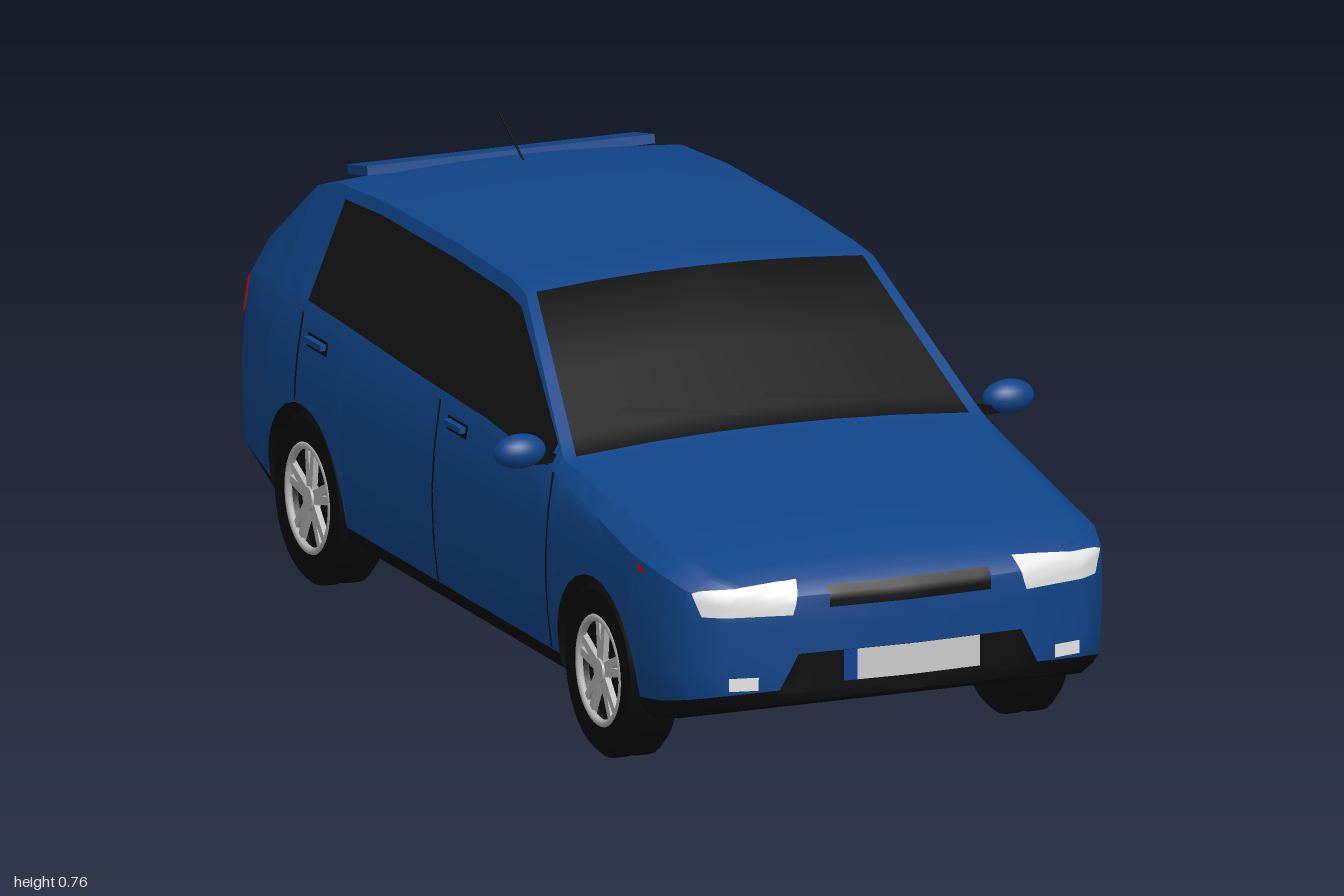
import * as THREE from 'three';
import { toCreasedNormals } from 'three/addons/utils/BufferGeometryUtils.js';

const mat = (name, color) => {
  const m = new THREE.MeshStandardMaterial({ color, side: THREE.DoubleSide });
  m.name = name;
  return m;
};
const { lerp } = THREE.MathUtils;
const WHEEL_Z = [0.6, -0.63], AXLE_Y = 0.15, ARCH_R = 0.165;

// Body stations: z, half width, shoulder y, roof edge half width, roof edge y
const KEYS = [
  [0.995, 0, 0.33, 0, 0.35],
  [0.985, 0.22, 0.335, 0.2, 0.352],
  [0.96, 0.33, 0.35, 0.3, 0.366],
  [0.92, 0.385, 0.365, 0.345, 0.383],
  [0.85, 0.405, 0.38, 0.365, 0.402],
  [0.75, 0.412, 0.39, 0.37, 0.42],
  [0.41, 0.416, 0.45, 0.385, 0.471],
  [0.1, 0.416, 0.46, 0.32, 0.677],
  [0.03, 0.416, 0.46, 0.315, 0.686],
  [-0.2, 0.416, 0.465, 0.315, 0.692],
  [-0.5, 0.416, 0.475, 0.315, 0.69],
  [-0.7, 0.415, 0.48, 0.315, 0.675],
  [-0.78, 0.413, 0.48, 0.32, 0.652],
  [-0.93, 0.395, 0.47, 0.343, 0.527],
  [-0.965, 0.375, 0.455, 0.34, 0.477],
  [-0.98, 0.345, 0.43, 0.32, 0.446],
  [-0.988, 0.28, 0.4, 0.25, 0.41],
  [-0.992, 0, 0.4, 0, 0.415],
];

// Half cross-section from the floor centre up to the roof centre
function section(z, archY) {
  let k = 0;
  while (k < KEYS.length - 2 && z < KEYS[k + 1][0]) k++;
  const A = KEYS[k], B = KEYS[k + 1], t = (A[0] - z) / (A[0] - B[0]);
  const [, w, ys, wr, yr] = A.map((v, i) => lerp(v, B[i], t));
  // The floor and sill sweep up towards both bumpers
  const sweep = Math.max(0, (Math.abs(z) - 0.72) / 0.27) ** 1.5;
  const floor = 0.1 + 0.07 * sweep, yb = archY ?? 0.14 + 0.053 * sweep;
  const side = (y) => w * (1 - 1.3 * (y - 0.29) ** 2);
  const pts = [[0, floor]];
  if (archY) pts.push([0.3, floor], [0.3, yb]);
  else pts.push([w * 0.9, floor], [w * 0.955, floor + 0.015]);
  for (const f of [0, 0.25, 0.5, 0.75, 1]) {
    const y = lerp(yb, ys, f);
    pts.push([side(y), y]);
  }
  for (const f of [0.05, 0.9, 1]) pts.push([lerp(side(ys), wr, f), lerp(ys, yr, f)]);
  for (const f of [0.94, 0.6, 0.3, 0]) pts.push([wr * f, yr + 0.05 * wr * (1 - f * f)]);
  return pts.map(([x, y]) => [x, y, z]);
}

// Lofted shell with wheel arches; group 0 paint, 1 glass, 2 underside
function shellGeometry() {
  const ends = [...KEYS.map((k) => k[0]), 0.375, 0.25, -0.655, -0.86, -0.95];
  const inArch = (z, c) => Math.abs(z - c) <= ARCH_R;
  const stations = ends.filter((z) => !WHEEL_Z.some((c) => inArch(z, c))).map((z) => [z]);
  for (const c of WHEEL_Z) {
    const zs = ends.filter((z) => inArch(z, c));
    for (let i = 0; i <= 14; i++) zs.push(c + ARCH_R * Math.cos((i / 14) * Math.PI));
    stations.push([c + ARCH_R + 1e-5], [c - ARCH_R - 1e-5]);
    for (const z of zs) {
      stations.push([z, AXLE_Y + Math.sqrt(Math.max(0, ARCH_R ** 2 - (z - c) ** 2))]);
    }
  }
  stations.sort((a, b) => b[0] - a[0]);
  const rows = stations.map(([z, archY]) => section(z, archY));
  const buckets = [[], [], []];
  const mirrored = ([x, y, z]) => [-x, y, z];
  for (let i = 0; i < rows.length - 1; i++) {
    const z = (stations[i][0] + stations[i + 1][0]) / 2;
    for (let j = 0; j < 14; j++) {
      const sideGlass = j === 8 && z < 0.375 && z > -0.655;
      const endGlass = j >= 11 && ((z < 0.41 && z > 0.1) || (z < -0.78 && z > -0.95));
      const out = buckets[j < 3 ? 2 : sideGlass || endGlass ? 1 : 0];
      const a = rows[i][j], b = rows[i + 1][j], c = rows[i + 1][j + 1], d = rows[i][j + 1];
      for (const p of [a, b, c, a, c, d]) out.push(...p);
      for (const p of [a, c, b, a, d, c]) out.push(...mirrored(p));
    }
  }
  const geo = new THREE.BufferGeometry();
  geo.setAttribute('position', new THREE.Float32BufferAttribute(buckets.flat(), 3));
  let start = 0;
  buckets.forEach((b, i) => {
    geo.addGroup(start, b.length / 3, i);
    start += b.length / 3;
  });
  return toCreasedNormals(geo, 0.7);
}

export function createModel() {
  const car = new THREE.Group();
  car.name = 'car';
  const paint = mat('blue paint', 0x104488), black = mat('black trim', 0x0a0a0a);
  const glass = mat('dark glass', 0x111111), silver = mat('silver metal', 0xb4b4b4);
  const lamp = mat('lamp white', 0xe6e6e6), plate = mat('plate grey', 0xcccccc);
  const plateBlue = mat('plate blue', 0x0c3f96), red = mat('lamp red', 0xa81212);

  const add = (parent, name, geo, material, x = 0, y = 0, z = 0) => {
    const mesh = new THREE.Mesh(geo, material);
    mesh.name = name;
    mesh.position.set(x, y, z);
    parent.add(mesh);
    return mesh;
  };
  const shell = add(car, 'bodyShell', shellGeometry(), [paint, glass, black]);
  const ray = new THREE.Raycaster();

  // Thin patch draped on the shell: corners (u, v) from bottom left, seen along an axis from one side
  function patch(name, material, axis, side, corners, lift = 0.004, n = 10, m = 3) {
    const [bl, br, tr, tl] = corners, geo = new THREE.PlaneGeometry(1, 1, n, m);
    const pos = geo.attributes.position, uv = geo.attributes.uv;
    const dir = new THREE.Vector3(axis === 'x' ? -side : 0, 0, axis === 'z' ? -side : 0);
    for (let i = 0; i < pos.count; i++) {
      const s = uv.getX(i), t = uv.getY(i);
      const [u, v] = [0, 1].map((k) => lerp(lerp(bl[k], br[k], s), lerp(tl[k], tr[k], s), t));
      const from = axis === 'z' ? new THREE.Vector3(u, v, 2 * side) : new THREE.Vector3(2 * side, v, u);
      ray.set(from, dir);
      const hit = ray.intersectObject(shell)[0];
      const p = hit ? hit.point.addScaledVector(hit.face.normal, lift) : from.addScaledVector(dir, 1.08);
      pos.setXYZ(i, p.x, p.y, p.z);
    }
    if (axis === 'z' ? side < 0 : side > 0) {
      const ix = geo.index.array;
      for (let i = 0; i < ix.length; i += 3) [ix[i], ix[i + 1]] = [ix[i + 1], ix[i]];
    }
    geo.computeVertexNormals();
    add(car, name, geo, material);
  }
  const rect = (u0, v0, u1, v1) => [[u0, v0], [u1, v0], [u1, v1], [u0, v1]];

  // Nose and tail details
  patch('upperGrille', black, 'z', 1, rect(-0.148, 0.33, 0.148, 0.363), 0.005, 14);
  patch('lowerGrille', black, 'z', 1, [[-0.24, 0.185], [0.24, 0.185], [0.205, 0.253], [-0.205, 0.253]], 0.004, 16);
  patch('frontPlate', plate, 'z', 1, rect(-0.1, 0.2, 0.125, 0.254), 0.009);
  patch('frontPlateBand', plateBlue, 'z', 1, rect(-0.125, 0.2, -0.1, 0.254), 0.009, 2);
  patch('rearBumperInsert', black, 'z', -1, [[-0.27, 0.175], [0.27, 0.175], [0.22, 0.235], [-0.22, 0.235]], 0.004, 16);
  patch('rearPlate', plate, 'z', -1, rect(-0.13, 0.3, 0.13, 0.355), 0.006);
  patch('tailgateSeam', black, 'z', -1, rect(-0.3, 0.458, 0.3, 0.463), 0.004, 16, 1);
  patch('tailgateHandle', black, 'z', -1, rect(-0.08, 0.435, 0.08, 0.452), 0.006);
  for (const x of [-0.25, 0.01]) {
    patch('wiper', black, 'z', 1, [[x, 0.522], [x + 0.2, 0.503], [x + 0.2, 0.507], [x, 0.527]], 0.006, 4, 1);
  }

  // Wheel parts, axis along local z with +z outward
  const tyreGeo = toCreasedNormals(new THREE.LatheGeometry([[0.095, -0.044], [0.138, -0.044], [0.15, -0.032],
    [0.15, -0.01], [0.146, -0.007], [0.146, 0.007], [0.15, 0.01], [0.15, 0.032], [0.138, 0.044], [0.097, 0.044],
    [0.095, 0.02]].map(([r, y]) => new THREE.Vector2(r, y)), 40).rotateX(Math.PI / 2), 0.6);
  const drumGeo = new THREE.CylinderGeometry(0.097, 0.097, 0.055, 32).rotateX(Math.PI / 2);
  const hubGeo = new THREE.CylinderGeometry(0.02, 0.024, 0.016, 20).rotateX(Math.PI / 2);
  const rimGeo = new THREE.TorusGeometry(0.091, 0.007, 8, 40);
  const spoke = new THREE.Shape([[-0.011, 0.012], [0.011, 0.012], [0.02, 0.09], [0.007, 0.09],
    [0, 0.05], [-0.007, 0.09], [-0.02, 0.09]].map(([x, y]) => new THREE.Vector2(x, y)));
  const spokeGeo = new THREE.ExtrudeGeometry(spoke, { depth: 0.01, bevelEnabled: false });

  const mirrorGeo = new THREE.SphereGeometry(1, 24, 12, 0, Math.PI).scale(0.047, 0.03, 0.034);
  const mirrorGlassGeo = new THREE.CircleGeometry(1, 24).scale(0.047, 0.03, 1).rotateY(Math.PI);

  for (const s of [1, -1]) {
    const quad = (pts) => (s > 0 ? pts : [1, 0, 3, 2].map((i) => [-pts[i][0], pts[i][1]]));
    // Lamps
    patch('headlight', lamp, 'z', 1, quad([[0.215, 0.322], [0.36, 0.322], [0.374, 0.362], [0.198, 0.374]]), 0.005, 16, 6);
    patch('fogLight', lamp, 'z', 1, quad(rect(0.272, 0.193, 0.322, 0.216)), 0.005, 6);
    patch('tailLight', red, 'z', -1, quad(rect(0.29, 0.39, 0.366, 0.455)), 0.005, 10, 6);
    patch('tailLightSide', red, 'x', s, rect(-0.972, 0.395, -0.938, 0.452), 0.005, 6, 6);
    patch('sideMarker', red, 'x', s, rect(0.775, 0.37, 0.8, 0.38), 0.004, 2, 1);

    // Door seams and handles
    for (const [z, y0, y1] of [[0.41, 0.145, 0.45], [-0.07, 0.145, 0.46], [-0.655, 0.32, 0.47]]) {
      patch('doorSeam', black, 'x', s, rect(z - 0.003, y0, z + 0.003, y1), 0.003, 1, 10);
    }
    for (const z of [0.01, -0.58]) {
      patch('handleRecess', black, 'x', s, rect(z - 0.042, 0.419, z + 0.042, 0.443), 0.003, 2);
      add(car, 'doorHandle', new THREE.BoxGeometry(0.012, 0.01, 0.07), paint, s * 0.412, 0.434, z);
    }

    // Door mirrors
    const mirror = new THREE.Group();
    mirror.name = 'doorMirror';
    mirror.position.set(s * 0.45, 0.483, 0.37);
    add(mirror, 'mirrorHousing', mirrorGeo, paint);
    add(mirror, 'mirrorGlass', mirrorGlassGeo, silver);
    add(mirror, 'mirrorStem', new THREE.BoxGeometry(0.045, 0.014, 0.02), black, -s * 0.045, -0.016, 0.008);
    car.add(mirror);

    for (const z of WHEEL_Z) {
      const wheel = new THREE.Group();
      wheel.name = z > 0 ? 'frontWheel' : 'rearWheel';
      wheel.position.set(s * 0.361, AXLE_Y, z);
      wheel.rotation.y = (s * Math.PI) / 2;
      add(wheel, 'tyre', tyreGeo, black);
      add(wheel, 'brakeDrum', drumGeo, black, 0, 0, -0.008);
      add(wheel, 'rimRing', rimGeo, silver, 0, 0, 0.039);
      add(wheel, 'hub', hubGeo, silver, 0, 0, 0.036);
      for (let i = 0; i < 5; i++) add(wheel, 'spoke', spokeGeo, silver, 0, 0, 0.03).rotation.z = (i * Math.PI * 2) / 5;
      car.add(wheel);
    }
  }

  // Roof spoiler with brake light, and aerial
  const spoiler = add(car, 'spoiler', new THREE.BoxGeometry(0.53, 0.016, 0.085), paint, 0, 0.683, -0.738);
  spoiler.rotation.x = -0.2;
  add(spoiler, 'brakeLight', new THREE.BoxGeometry(0.18, 0.01, 0.006), red, 0, 0, -0.044);
  const tube = (name, pts, r) => add(car, name, new THREE.TubeGeometry(
    new THREE.CatmullRomCurve3(pts.map((p) => new THREE.Vector3(...p)), false, 'catmullrom', 0.2), 24, r, 10), black);
  tube('aerial', [[0, 0.695, -0.645], [0, 0.755, -0.75]], 0.002);

  // Exhaust
  add(car, 'silencer', new THREE.BoxGeometry(0.15, 0.06, 0.18), black, 0.115, 0.075, -0.44);
  tube('exhaustPipe', [[0.185, 0.075, -0.5], [0.19, 0.07, -0.65], [0.19, 0.075, -0.8], [0.19, 0.142, -0.91]], 0.012);
  const tip = add(car, 'exhaustTip', new THREE.CylinderGeometry(0.015, 0.015, 0.1, 16, 1, true), silver, 0.19, 0.145, -0.95);
  tip.rotation.x = Math.PI / 2;
  return car;
}
